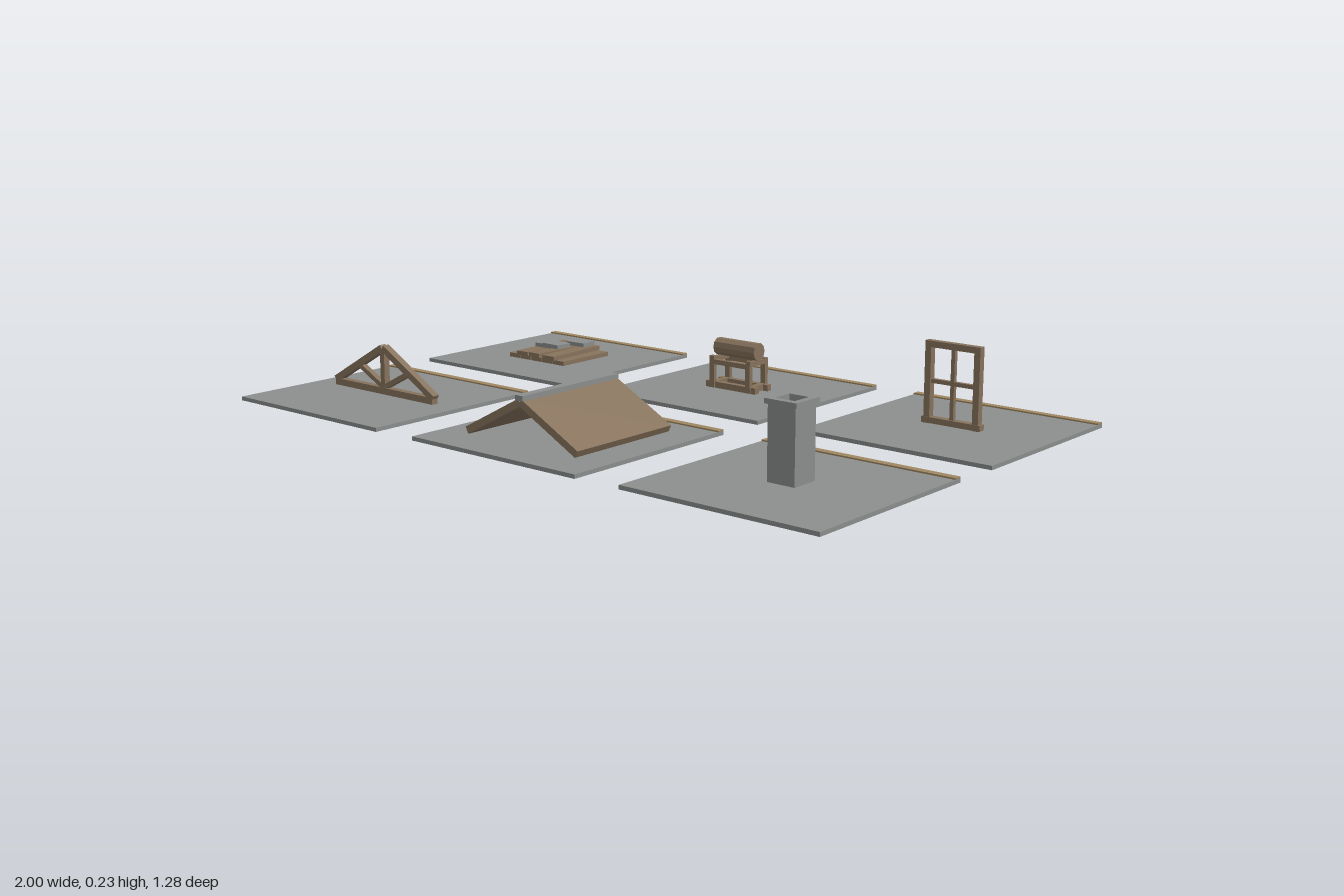
import * as THREE from 'three';

const material = (name, color) => Object.assign(new THREE.MeshStandardMaterial({ color }), { name });

export function createModel() {
  const stone = material('stone grey', 0x8c8f8d);
  const wood = material('brown wood', 0x87735d);
  const trim = material('tan trim', 0x9f8862);
  const root = new THREE.Group();
  root.name = 'roofPartsSet';
  const TOP = 0.011; // upper face of every base plate

  const box = (parent, name, mat, [w, h, d], [x, y, z], rotY = 0) => {
    const m = new THREE.Mesh(new THREE.BoxGeometry(w, h, d), mat);
    m.name = name;
    m.position.set(x, y, z);
    m.rotation.y = rotY;
    parent.add(m);
    return m;
  };

  // Beam between two points in the XY plane
  const beam = (parent, name, mat, [x1, y1], [x2, y2], thick, depth) => {
    const m = box(parent, name, mat, [Math.hypot(x2 - x1, y2 - y1), thick, depth],
      [(x1 + x2) / 2, (y1 + y2) / 2, 0]);
    m.rotation.z = Math.atan2(y2 - y1, x2 - x1);
    return m;
  };

  // A display tile: plate with a raised strip on its back edge
  const tile = (name, col, row) => {
    const g = new THREE.Group();
    g.name = name;
    g.position.set(col * 0.7135, 0, row * 0.3565);
    box(g, 'basePlate', stone, [0.573, TOP, 0.568], [0, TOP / 2, 0]);
    box(g, 'backStrip', trim, [0.573, 0.004, 0.022], [0, TOP + 0.002, -0.273]);
    root.add(g);
    return g;
  };

  // Roof truss
  const truss = tile('roofTruss', -1, 1);
  box(truss, 'bottomChord', wood, [0.41, 0.019, 0.021], [0, TOP + 0.011, 0]);
  box(truss, 'kingPost', wood, [0.017, 0.115, 0.019], [0, 0.085, 0]);
  for (const s of [-1, 1]) {
    beam(truss, 'rafter', wood, [s * 0.206, 0.029], [s * 0.002, 0.146], 0.019, 0.021);
    beam(truss, 'strut', wood, [s * 0.005, 0.034], [s * 0.1, 0.083], 0.014, 0.017);
  }

  // Gabled roof panels with ridge cap
  const roof = tile('gableRoof', 0, 1);
  for (const s of [-1, 1]) {
    beam(roof, 'roofPanel', wood, [s * 0.193, 0.0225], [0, 0.125], 0.02, 0.356);
  }
  box(roof, 'ridgeCap', stone, [0.026, 0.014, 0.36], [0, 0.136, 0]);

  // Hollow chimney
  const chimney = tile('chimney', 1, 1);
  const squareTube = (name, outer, inner, y, h) => {
    const ring = (half) => [[-half, -half], [half, -half], [half, half], [-half, half]]
      .map(([x, z]) => new THREE.Vector2(x, z));
    const shape = new THREE.Shape(ring(outer / 2));
    shape.holes.push(new THREE.Path(ring(inner / 2).reverse()));
    const geo = new THREE.ExtrudeGeometry(shape, { depth: h, bevelEnabled: false });
    geo.rotateX(-Math.PI / 2);
    const m = new THREE.Mesh(geo, stone);
    m.name = name;
    m.position.y = y;
    chimney.add(m);
  };
  squareTube('chimneyShaft', 0.08, 0.056, TOP, 0.19);
  squareTube('chimneyCap', 0.092, 0.056, 0.2, 0.013);

  // Pile of planks with loose slates
  const pile = tile('plankPile', -1, -1);
  for (let i = 0; i < 5; i++) {
    box(pile, 'lowerPlank', wood, [0.043, 0.013, 0.203], [(i - 2) * 0.0465, TOP + 0.0065, 0]);
  }
  [[-0.055, 0.05], [0, -0.04], [0.055, 0.06]].forEach(([x, r], i) =>
    box(pile, 'upperPlank', wood, [0.045, 0.013, 0.222], [x, 0.0305, i === 1 ? -0.003 : 0.002], r));
  [[-0.043, 0.043, 0], [0.025, 0.056, 0.038], [0.061, 0.056, -0.034]].forEach(([x, y, z], i) =>
    box(pile, 'slate', stone, [0.068, 0.012, 0.053], [x, y, z], [0.04, -0.05, 0.05][i]));

  // Log resting on a four-post stand
  const stand = tile('logStand', 0, -1);
  for (const s of [-1, 1]) {
    box(stand, 'longSill', wood, [0.178, 0.018, 0.018], [0, 0.02, s * 0.029]);
    box(stand, 'crossSill', wood, [0.018, 0.018, 0.085], [s * 0.065, 0.021, 0]);
    box(stand, 'topRail', wood, [0.13, 0.014, 0.012], [0, 0.088, s * 0.036]);
    box(stand, 'crossRail', wood, [0.014, 0.014, 0.074], [s * 0.065, 0.095, 0]);
    for (const t of [-1, 1]) {
      box(stand, 'post', wood, [0.016, 0.08, 0.013], [s * 0.065, 0.065, t * 0.036]);
    }
  }
  const logGeo = new THREE.CylinderGeometry(0.0255, 0.0255, 0.147, 10).toNonIndexed();
  logGeo.rotateZ(Math.PI / 2);
  logGeo.computeVertexNormals();
  const log = new THREE.Mesh(logGeo, wood);
  log.name = 'log';
  log.position.y = 0.127;
  stand.add(log);

  // Window frame
  const win = tile('windowFrame', 1, -1);
  for (const s of [-1, 1]) {
    box(win, 'jamb', wood, [0.018, 0.222, 0.02], [s * 0.074, 0.122, 0]);
  }
  box(win, 'head', wood, [0.166, 0.017, 0.02], [0, 0.2255, 0]);
  box(win, 'sill', wood, [0.178, 0.016, 0.022], [0, 0.02, 0]);
  box(win, 'mullion', wood, [0.011, 0.19, 0.012], [0, 0.122, 0]);
  box(win, 'crossBar', wood, [0.135, 0.011, 0.012], [0, 0.126, 0]);

  return root;
}
